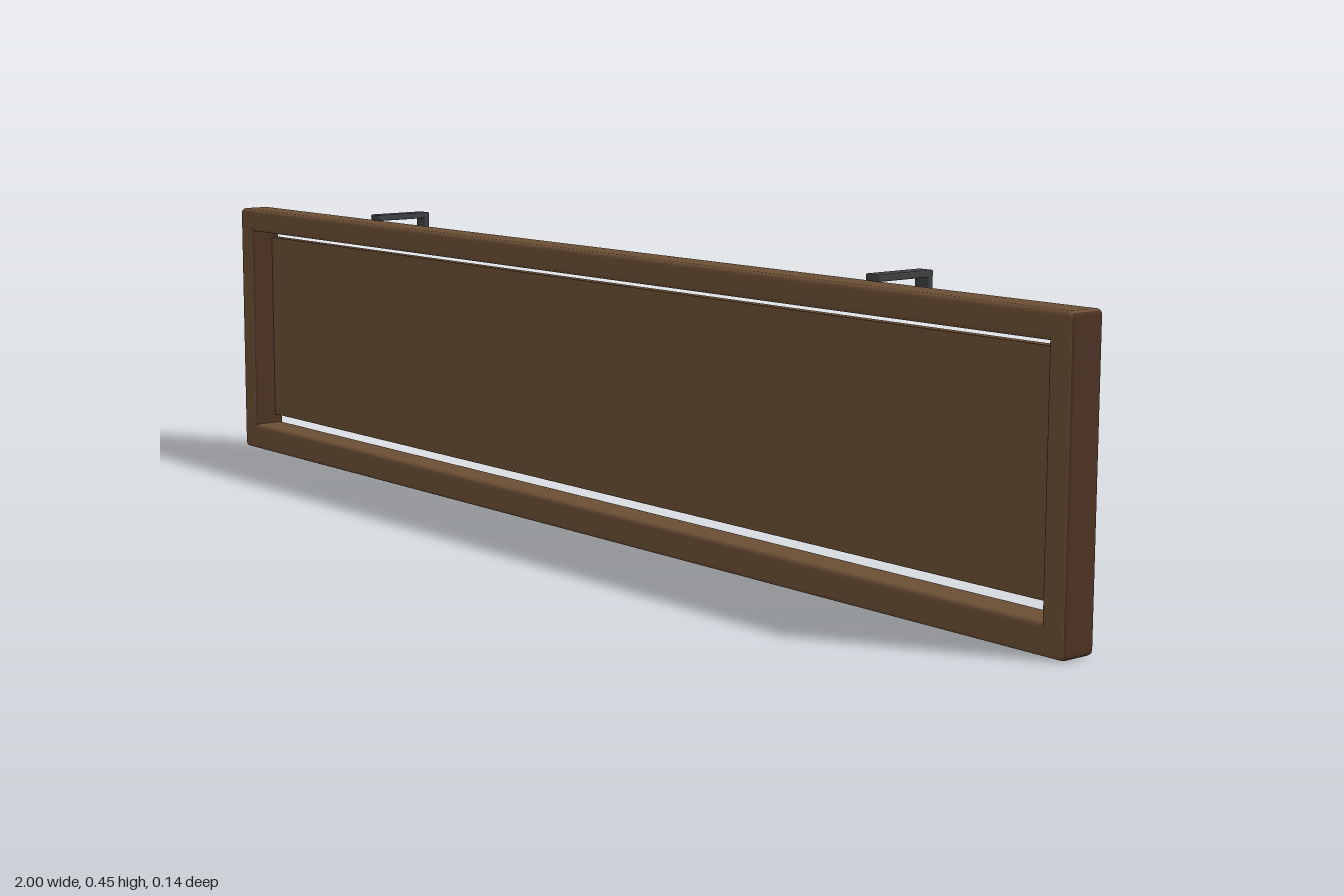
import * as THREE from 'three';
import { RoundedBoxGeometry } from 'three/addons/geometries/RoundedBoxGeometry.js';

function material(name, color) {
  const m = new THREE.MeshStandardMaterial({ color });
  m.name = name;
  return m;
}

export function createModel() {
  const group = new THREE.Group();
  group.name = 'wallPanel';
  const wood = material('wood', 0x6b4e35);
  const darkWood = material('darkWood', 0x4d3323);
  const sage = material('sageEdge', 0x8a8d78);
  const metal = material('darkMetal', 0x3f4042);

  // Box from its limits [min, max] on each axis, with softly rounded edges
  function part(name, x, y, z, radius, mat) {
    const geo = new RoundedBoxGeometry(x[1] - x[0], y[1] - y[0], z[1] - z[0], 3, radius);
    const mesh = new THREE.Mesh(geo, mat);
    mesh.position.set((x[0] + x[1]) / 2, (y[0] + y[1]) / 2, (z[0] + z[1]) / 2);
    mesh.name = name;
    group.add(mesh);
  }

  // Face order: +x, -x, +y, -y, +z, -z
  const frameFaces = [darkWood, darkWood, wood, wood, wood, darkWood];
  const slatFaces = [wood, sage, sage, wood, wood, wood];
  const depth = [0.013, 0.072];

  // Frame: two rails and two stiles
  part('bottomRail', [-1, 1], [0, 0.045], depth, 0.008, frameFaces);
  part('topRail', [-1, 1], [0.403, 0.443], depth, 0.008, frameFaces);
  for (const s of [-1, 1]) {
    const x = [s * 0.98 - 0.02, s * 0.98 + 0.02];
    part('stile', x, [0, 0.443], depth, 0.008, frameFaces);
  }

  // Recessed panel, with a narrow slot above and below
  part('panel', [-0.965, 0.965], [0.06, 0.39], [0.014, 0.03], 0.001, frameFaces);

  // Back slats and hanging hooks
  for (const s of [-1, 1]) {
    const c = s * 0.61;
    part('backSlat', [c - 0.018, c + 0.018], [0.067, 0.379], [-0.014, 0.012], 0.002, slatFaces);
    part('hookArm', [c - 0.013, c + 0.013], [0.444, 0.454], [-0.071, 0.033], 0.002, metal);
    part('hookTip', [c - 0.013, c + 0.013], [0.393, 0.454], [-0.072, -0.062], 0.002, metal);
  }
  return group;
}
